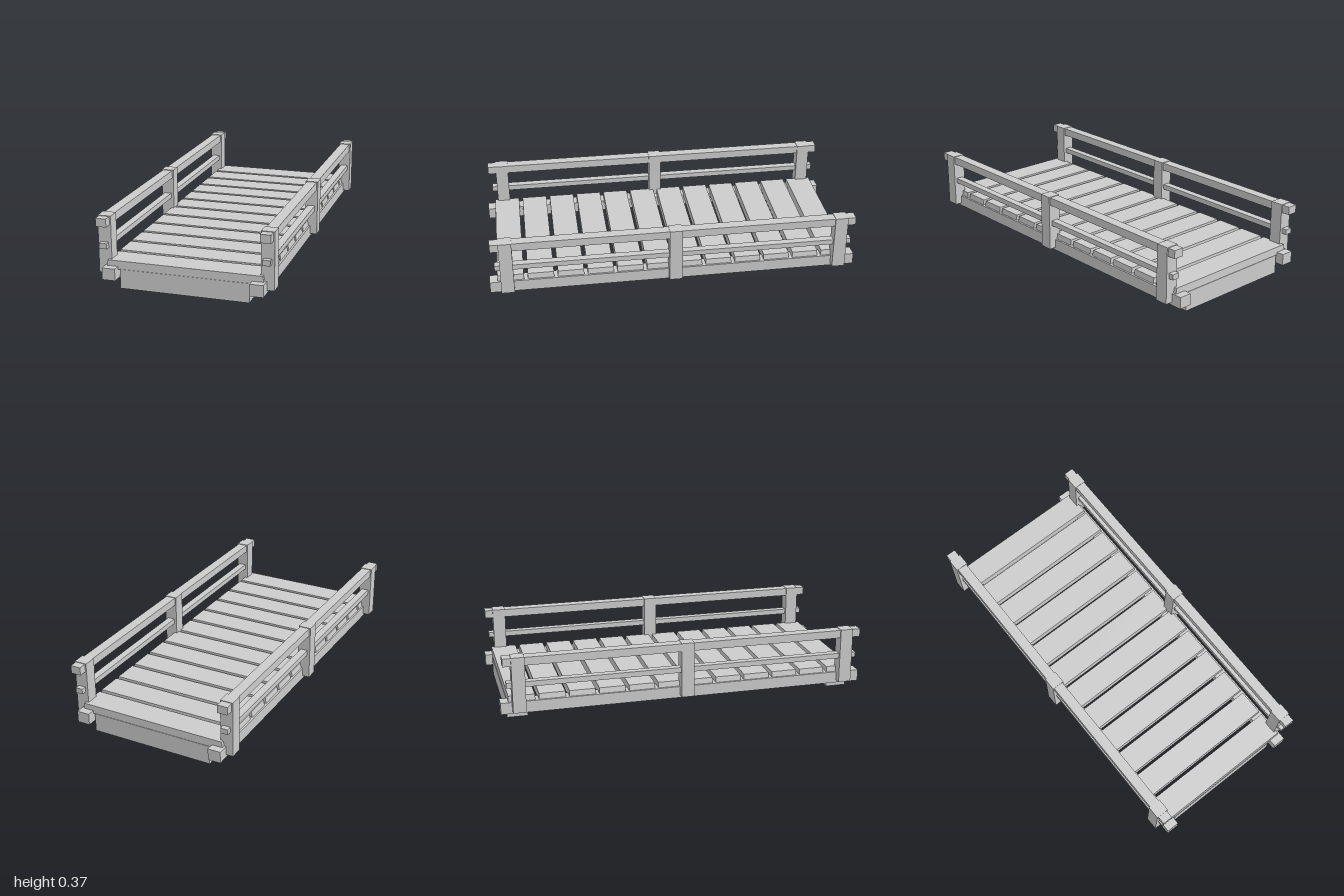
import * as THREE from 'three';

const material = new THREE.MeshStandardMaterial({ color: 0xcccccc, flatShading: true });

// Box given by its centre x and z, its bottom and top, and its width and depth;
// the base is wider than the top by the flare factor.
function addBlock(parent, name, x, z, y0, y1, width, depth, flare = 1) {
  const geometry = new THREE.BoxGeometry(width, y1 - y0, depth);
  const p = geometry.attributes.position;
  for (let i = 0; i < p.count; i++) {
    if (p.getY(i) < 0) p.setXYZ(i, p.getX(i) * flare, p.getY(i), p.getZ(i) * flare);
  }
  geometry.computeVertexNormals();
  const mesh = new THREE.Mesh(geometry, material);
  mesh.name = name;
  mesh.position.set(x, (y0 + y1) / 2, z);
  parent.add(mesh);
}

export function createModel() {
  const bridge = new THREE.Group();
  bridge.name = 'footbridge';

  // Deck planks, slightly narrower on top
  const deck = new THREE.Group();
  deck.name = 'deck';
  const count = 12, pitch = 0.1613;
  for (let i = 0; i < count; i++) {
    addBlock(deck, 'plank', 0, (i - (count - 1) / 2) * pitch, 0.1, 0.145, 0.812, 0.14, 1.022);
  }
  bridge.add(deck);

  // Cross sills under both ends
  for (const s of [-1, 1]) addBlock(bridge, 'sill', 0, s * 0.905, 0, 0.102, 0.68, 0.112);

  // Long beam and railing on each side
  for (const s of [-1, 1]) {
    addBlock(bridge, s > 0 ? 'leftBeam' : 'rightBeam', s * 0.387, 0, 0.052, 0.115, 0.07, 2);

    const railing = new THREE.Group();
    railing.name = s > 0 ? 'leftRailing' : 'rightRailing';
    for (const z of [-0.905, 0, 0.905]) addBlock(railing, 'post', s * 0.426, z, 0.068, 0.372, 0.07, 0.07);
    addBlock(railing, 'handrail', s * 0.426, 0, 0.325, 0.369, 0.056, 1.968);
    addBlock(railing, 'middleRail', s * 0.426, 0, 0.204, 0.233, 0.04, 1.936);
    bridge.add(railing);
  }
  return bridge;
}
